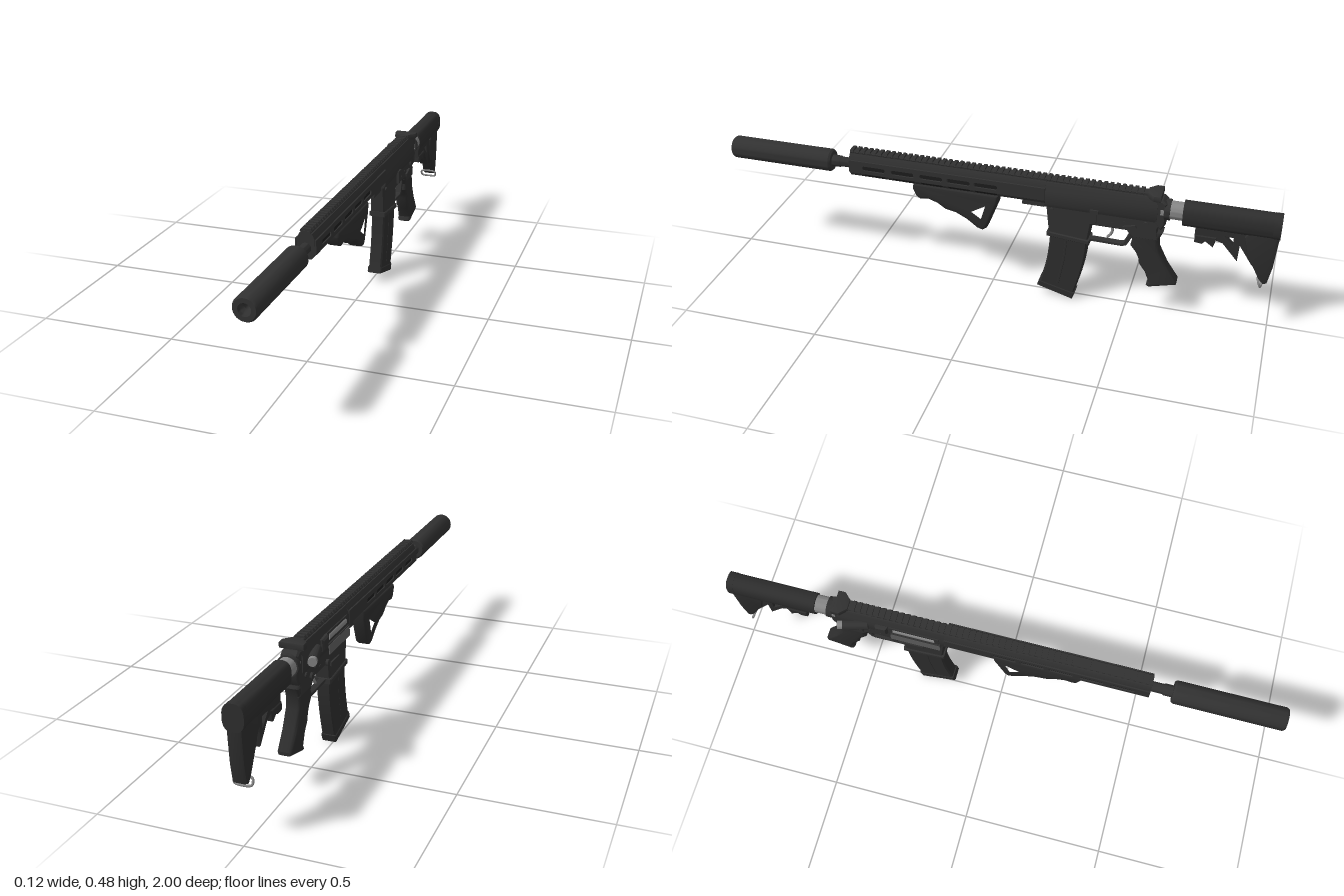
import * as THREE from 'three';
import { toCreasedNormals } from 'three/addons/utils/BufferGeometryUtils.js';

const flat = (name, color) => Object.assign(new THREE.MeshStandardMaterial({ color }), { name });
const metal = flat('blackened metal', 0x313131);
const polymer = flat('black polymer', 0x2d2d2d);
const shade = flat('slot black', 0x1c1c1c);
const steel = flat('bare steel', 0x858585);
const coverGrey = flat('dull grey', 0x5c5c5c);

const CX = 0.015; // bore line
const BORE = 0.42;

export function createModel() {
  const root = new THREE.Group();
  root.name = 'rifle';

  const add = (name, geo, mat, x = 0, y = 0, z = 0) => {
    const mesh = new THREE.Mesh(geo, mat);
    mesh.name = name;
    mesh.position.set(CX + x, y, z);
    root.add(mesh);
    return mesh;
  };
  const crease = (geo) => toCreasedNormals(geo, 0.6);
  const vectors = (pts) => pts.map(([a, b]) => new THREE.Vector2(a, b));

  // Side outline given as [z, y], extruded across x and centred on the bore line
  const side = (name, pts, width, mat, { bevel = 0.003, holes = [], x = 0, steps = 1 } = {}) => {
    const shape = new THREE.Shape(vectors(pts));
    for (const h of holes) shape.holes.push(new THREE.Path(vectors(h)));
    const depth = width - 2 * bevel;
    const geo = new THREE.ExtrudeGeometry(shape, {
      depth, bevelEnabled: true, bevelSize: bevel, bevelThickness: bevel, bevelOffset: -bevel, bevelSegments: steps,
    });
    geo.translate(0, 0, -depth / 2).rotateY(-Math.PI / 2);
    return add(name, crease(geo), mat, x);
  };
  // Cross-section given as [x, y], extruded from z0 to z1
  const along = (name, pts, z0, z1, mat) => {
    const geo = new THREE.ExtrudeGeometry(new THREE.Shape(vectors(pts)), { depth: z1 - z0, bevelEnabled: false });
    return add(name, crease(geo), mat, 0, 0, z0);
  };
  // Turned part on the bore line, profile given as [radius, z]
  const turned = (name, pts, mat, y = BORE) =>
    add(name, crease(new THREE.LatheGeometry(vectors(pts), 32).rotateX(Math.PI / 2)), mat, 0, y);
  const box = (name, w, h, d, mat, x, y, z) => add(name, new THREE.BoxGeometry(w, h, d), mat, x, y, z);
  const pin = (name, r, length, mat, x, y, z) =>
    add(name, crease(new THREE.CylinderGeometry(r, r, length, 16).rotateZ(Math.PI / 2)), mat, x, y, z);
  const smooth = (pts, n) => new THREE.SplineCurve(vectors(pts)).getPoints(n).map((p) => [p.x, p.y]);
  const tube = (name, pts, r, mat, closed = false) => {
    const curve = new THREE.CatmullRomCurve3(pts.map((p) => new THREE.Vector3(...p)), closed);
    return add(name, new THREE.TubeGeometry(curve, 28, r, 8, closed), mat);
  };

  // Muzzle can and barrel
  turned('suppressor', [[0, 0.605], [0.036, 0.605], [0.041, 0.612], [0.041, 0.992], [0.036, 1],
    [0.021, 1], [0.021, 0.985], [0.01, 0.975], [0.01, 0.94], [0, 0.94]], metal);
  turned('barrel', [[0, 0.5], [0.018, 0.5], [0.018, 0.57], [0.021, 0.575], [0.021, 0.606], [0, 0.606]], metal);

  // Handguard: eight-sided core with slotted plates on both sides
  along('handguardCore', [[-0.019, 0.383], [0.019, 0.383], [0.03, 0.401], [0.03, 0.45], [0.021, 0.469],
    [-0.021, 0.469], [-0.03, 0.45], [-0.03, 0.401]], -0.2, 0.53, metal);
  const slots = [0.435, 0.325, 0.217, 0.115, 0.015];
  const slotHole = (z, h = 0.008, y = 0.423) => [[z - 0.042, y - h / 2], [z - 0.038, y - h], [z + 0.038, y - h],
    [z + 0.042, y - h / 2], [z + 0.042, y + h / 2], [z + 0.038, y + h], [z - 0.038, y + h], [z - 0.042, y + h / 2]];
  for (const s of [-1, 1]) {
    side('handguardPlate', [[-0.2, 0.4], [0.53, 0.4], [0.53, 0.45], [-0.2, 0.45]], 0.006, metal,
      { bevel: 0.001, x: s * 0.033, holes: slots.map((z) => slotHole(z)) });
    for (const z of slots) {
      box('slotShadow', 0.002, 0.016, 0.083, shade, s * 0.03, 0.423, z);
      // Slot on the lower slanted face
      box('lowerSlot', 0.002, 0.009, 0.08, shade, s * 0.0247, 0.392, z).rotation.z = -s * 0.55;
    }
  }
  box('handguardClamp', 0.036, 0.02, 0.08, metal, 0, 0.376, -0.155);

  // Toothed top rail
  box('railBase', 0.034, 0.012, 1.1, metal, 0, 0.471, -0.02);
  for (let z = 0.522; z > -0.55; z -= 0.0215) {
    along('railTooth', [[-0.021, 0.476], [-0.017, 0.472], [0.017, 0.472], [0.021, 0.476], [0.016, 0.484], [-0.016, 0.484]],
      z - 0.006, z + 0.006, metal);
  }

  // Angled foregrip with a triangular window
  side('foregrip', [[0.29, 0.384], [0.293, 0.365], [0.28, 0.335], [0.265, 0.325], [0.235, 0.33], [0.2, 0.318],
    [0.17, 0.298], [0.13, 0.29], [0.09, 0.27], [0.05, 0.24], [0.03, 0.234], [0.015, 0.245], [-0.025, 0.35], [-0.028, 0.384]],
    0.054, polymer, { bevel: 0.01, steps: 3, holes: [[[0.085, 0.306], [0.03, 0.268], [0.006, 0.342], [0.02, 0.348]]] });

  // Upper receiver
  along('upperReceiver', [[-0.028, 0.375], [0.028, 0.375], [0.034, 0.39], [0.034, 0.435], [0.022, 0.468],
    [-0.022, 0.468], [-0.034, 0.435], [-0.034, 0.39]], -0.59, -0.2, metal);
  side('receiverRear', [[-0.58, 0.375], [-0.58, 0.462], [-0.605, 0.462], [-0.62, 0.45], [-0.62, 0.37], [-0.605, 0.345]],
    0.06, metal, { bevel: 0.006 });
  box('portFrame', 0.004, 0.044, 0.18, metal, -0.034, 0.422, -0.31);
  add('bolt', crease(new THREE.CylinderGeometry(0.014, 0.014, 0.15, 16).rotateX(Math.PI / 2)), steel, -0.027, 0.425, -0.31);
  box('dustCover', 0.003, 0.034, 0.18, coverGrey, -0.041, 0.385, -0.305).rotation.z = -0.06;
  box('coverHinge', 0.007, 0.007, 0.18, metal, -0.037, 0.402, -0.305);
  side('caseDeflector', [[-0.405, 0.4], [-0.405, 0.445], [-0.45, 0.44], [-0.45, 0.4]], 0.02, metal, { x: -0.036, bevel: 0.006 });

  // Forward assist, angled out to the right
  const assist = new THREE.Group();
  assist.name = 'forwardAssist';
  assist.position.set(CX - 0.047, BORE, -0.53);
  assist.rotation.y = 0.27;
  const assistPart = (name, r, len, z, mat) => {
    const mesh = new THREE.Mesh(crease(new THREE.CylinderGeometry(r, r, len, 20).rotateX(Math.PI / 2)), mat);
    mesh.name = name;
    mesh.position.z = z;
    assist.add(mesh);
  };
  assistPart('assistHousing', 0.017, 0.09, 0.01, metal);
  assistPart('assistButton', 0.015, 0.018, -0.044, steel);
  root.add(assist);

  // Charging handle
  box('chargingHandleStem', 0.03, 0.014, 0.1, metal, 0, 0.468, -0.55);
  const handle = new THREE.Shape(vectors([[-0.042, -0.6], [0.042, -0.6], [0.042, -0.575], [0.018, -0.55], [-0.018, -0.55], [-0.042, -0.575]]));
  add('chargingHandle', crease(new THREE.ExtrudeGeometry(handle, { depth: 0.016, bevelEnabled: true, bevelSize: 0.003,
    bevelThickness: 0.003, bevelOffset: -0.003, bevelSegments: 2 }).rotateX(Math.PI / 2)), metal, 0, 0.48, 0);

  // Lower receiver, magazine well and trigger guard
  side('lowerReceiver', [[-0.2, 0.385], [-0.205, 0.36], [-0.215, 0.27], [-0.355, 0.255], [-0.365, 0.325], [-0.49, 0.325],
    [-0.51, 0.3], [-0.6, 0.3], [-0.595, 0.345], [-0.61, 0.385]], 0.054, metal, { bevel: 0.005 });
  side('magazineWellLip', [[-0.209, 0.276], [-0.208, 0.258], [-0.362, 0.244], [-0.362, 0.262]], 0.064, metal);
  side('triggerGuard', [[-0.35, 0.262], [-0.35, 0.252], [-0.475, 0.25], [-0.49, 0.256], [-0.515, 0.305],
    [-0.5, 0.31], [-0.48, 0.264], [-0.47, 0.26]], 0.024, metal, { bevel: 0.001 });
  tube('trigger', [[0, 0.33, -0.43], [0, 0.305, -0.437], [0, 0.287, -0.432], [0, 0.272, -0.42]], 0.005, steel);

  // Controls and pins
  pin('frontPin', 0.008, 0.064, metal, 0, 0.365, -0.225);
  pin('rearPin', 0.009, 0.064, metal, 0, 0.362, -0.555);
  pin('triggerPin', 0.005, 0.058, metal, 0, 0.345, -0.44);
  pin('hammerPin', 0.005, 0.058, metal, 0, 0.355, -0.48);
  pin('selectorHub', 0.011, 0.07, metal, 0, 0.342, -0.515);
  box('selectorLever', 0.007, 0.011, 0.045, metal, 0.034, 0.345, -0.5).rotation.x = 0.25;
  box('boltCatch', 0.012, 0.05, 0.016, metal, 0.031, 0.365, -0.375);
  box('boltCatchPad', 0.014, 0.016, 0.03, metal, 0.033, 0.385, -0.375);
  pin('magazineRelease', 0.011, 0.012, metal, -0.03, 0.335, -0.385);
  box('magazineFence', 0.01, 0.014, 0.07, metal, -0.027, 0.315, -0.32);

  // Curved magazine and floor plate
  const magFront = smooth([[-0.22, 0.29], [-0.217, 0.22], [-0.207, 0.14], [-0.185, 0.05]], 10);
  const magBack = smooth([[-0.31, 0.015], [-0.335, 0.11], [-0.35, 0.2], [-0.355, 0.29]], 10);
  side('magazine', [...magFront, ...magBack], 0.05, polymer, { bevel: 0.005 });
  side('magazineRib', [[-0.275, 0.25], [-0.269, 0.17], [-0.25, 0.06], [-0.258, 0.058], [-0.277, 0.17], [-0.283, 0.25]],
    0.053, polymer, { bevel: 0.001 });
  side('floorPlate', [[-0.184, 0.062], [-0.177, 0.038], [-0.308, 0], [-0.318, 0.028]], 0.055, polymer, { bevel: 0.004 });

  // Pistol grip
  side('pistolGrip', [[-0.495, 0.315], [-0.51, 0.29], [-0.505, 0.265], [-0.525, 0.24], [-0.535, 0.22], [-0.54, 0.195],
    [-0.562, 0.165], [-0.578, 0.125], [-0.57, 0.11], [-0.58, 0.104], [-0.675, 0.13], [-0.675, 0.142], [-0.635, 0.2],
    [-0.605, 0.26], [-0.6, 0.3], [-0.615, 0.335], [-0.59, 0.34]], 0.052, polymer, { bevel: 0.011, steps: 3 });

  // Stock tube and sliding stock
  turned('castleNut', [[0, -0.632], [0.037, -0.632], [0.037, -0.612], [0, -0.612]], metal, 0.418);
  turned('stockTube', [[0, -0.72], [0.032, -0.72], [0.032, -0.6], [0, -0.6]], steel, 0.418);
  const oval = (w, h) => Array.from({ length: 28 }, (_, i) => {
    const a = (i / 28) * Math.PI * 2;
    const soft = (v) => Math.sign(v) * Math.abs(v) ** 0.75;
    return [w * soft(Math.cos(a)), 0.414 + h * soft(Math.sin(a))];
  });
  along('stockBody', oval(0.034, 0.044), -0.99, -0.675, polymer);
  side('stockWeb', [[-0.72, 0.385], [-0.72, 0.335], [-0.77, 0.338], [-0.815, 0.325], [-0.87, 0.262], [-0.873, 0.325],
    [-0.92, 0.255], [-0.96, 0.22], [-0.98, 0.385]], 0.034, polymer,
    { holes: [[[-0.815, 0.352], [-0.85, 0.352], [-0.85, 0.318]]] });
  side('stockLever', [[-0.722, 0.345], [-0.72, 0.316], [-0.748, 0.313], [-0.757, 0.325], [-0.785, 0.305], [-0.795, 0.345]],
    0.042, polymer);
  side('stockButt', [[-0.935, 0.44], [-0.885, 0.365], [-0.9, 0.3], [-0.95, 0.205], [-0.965, 0.19], [-0.978, 0.195],
    [-0.99, 0.26], [-0.998, 0.37], [-0.998, 0.44]], 0.05, polymer, { bevel: 0.008, steps: 2 });
  along('buttPad', oval(0.035, 0.045), -1, -0.975, polymer);

  // Sling loop under the butt
  tube('slingLoop', [[-0.028, 0.203, -0.95], [0, 0.207, -0.947], [0.028, 0.203, -0.95], [0.031, 0.194, -0.954],
    [0.028, 0.183, -0.958], [0, 0.18, -0.961], [-0.028, 0.183, -0.958], [-0.031, 0.194, -0.954]], 0.004, steel, true);

  return root;
}
